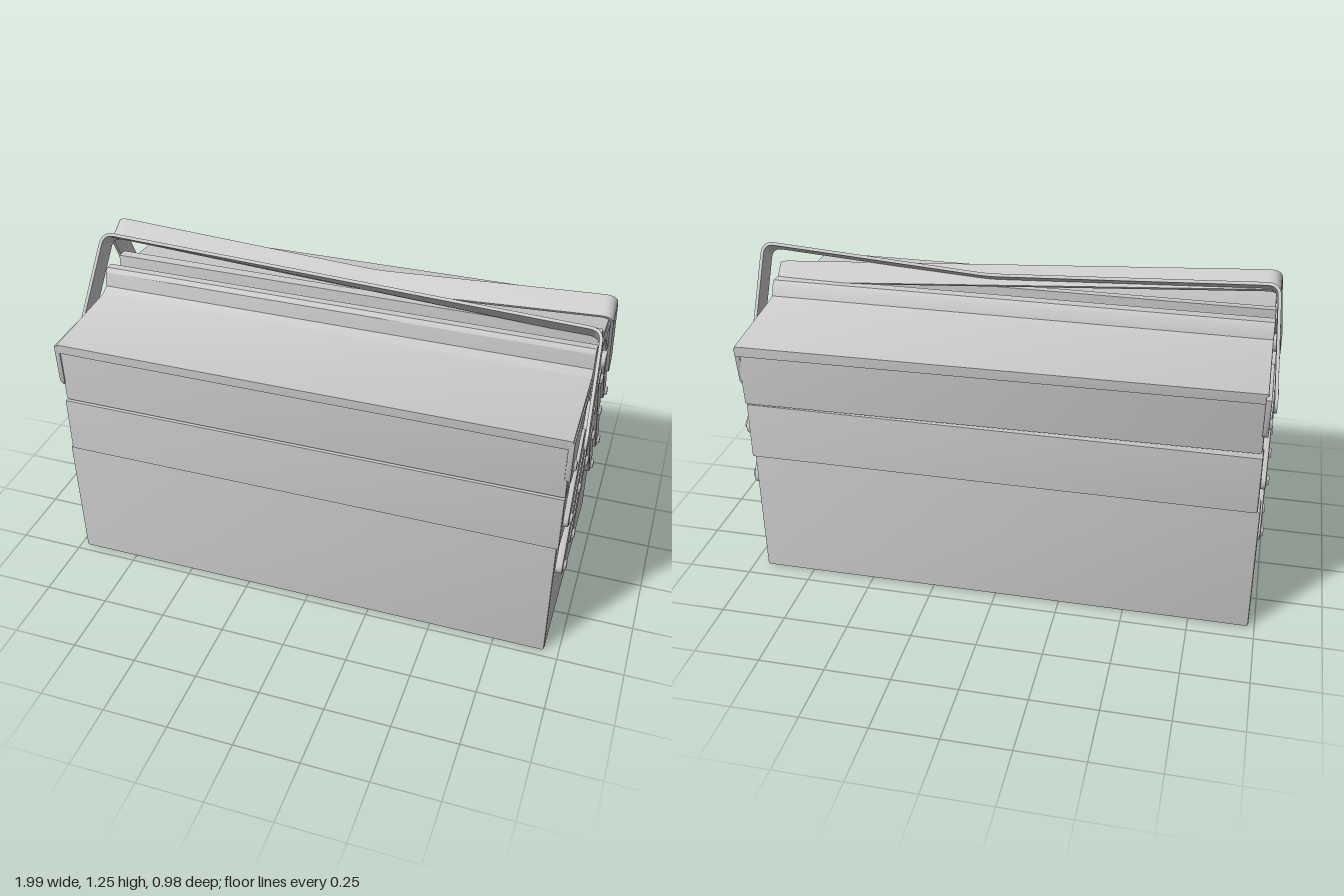
import * as THREE from 'three';
import { toCreasedNormals } from 'three/addons/utils/BufferGeometryUtils.js';

const metal = new THREE.MeshStandardMaterial({ color: 0xcccccc });

function addMesh(parent, name, geometry) {
  const mesh = new THREE.Mesh(geometry, metal);
  mesh.name = name;
  parent.add(mesh);
  return mesh;
}

// Extrude a [z, y] outline along x between x0 and x1 with a small edge bevel
function prism(shape, x0, x1, bevel = 0.008) {
  const geo = new THREE.ExtrudeGeometry(shape, {
    depth: x1 - x0 - 2 * bevel, bevelThickness: bevel, bevelSize: bevel,
    bevelOffset: -bevel, bevelSegments: 2, curveSegments: 12,
  });
  geo.rotateY(-Math.PI / 2);
  geo.translate(x1 - bevel, 0, 0);
  return toCreasedNormals(geo, 0.6);
}

const polygon = (pts) => new THREE.Shape(pts.map(([z, y]) => new THREE.Vector2(z, y)));
const block = (z0, z1, y0, y1) => polygon([[z0, y0], [z1, y0], [z1, y1], [z0, y1]]);

// Round-ended bar outline between two pivots
function capsule([z0, y0], [z1, y1], r) {
  const a = Math.atan2(y1 - y0, z1 - z0);
  const s = new THREE.Shape();
  s.absarc(z1, y1, r, a - Math.PI / 2, a + Math.PI / 2, false);
  s.absarc(z0, y0, r, a + Math.PI / 2, a + Math.PI * 1.5, false);
  return s;
}

// Low domed rivet facing outward on one end of the box
function rivet(parent, x, side, [z, y], r = 0.022) {
  const geo = new THREE.CylinderGeometry(r * 0.7, r, 0.012, 16);
  geo.rotateZ(-side * Math.PI / 2);
  addMesh(parent, 'rivet', toCreasedNormals(geo, 0.9)).position.set(x, y, z);
}

// Flat strap swept through corner points; its width direction turns from wL to wR
function strap(points, wL, wR, width, thick) {
  const P = points.map((p) => new THREE.Vector3(...p));
  const path = [P[0]];
  for (let i = 1; i < P.length - 1; i++) {
    const toward = (q) => P[i].clone().add(q.clone().sub(P[i]).setLength(0.045));
    path.push(...new THREE.QuadraticBezierCurve3(toward(P[i - 1]), P[i], toward(P[i + 1])).getPoints(6));
  }
  path.push(P[P.length - 1]);
  const pos = [], idx = [], n = path.length;
  path.forEach((p, i) => {
    const t = path[Math.min(i + 1, n - 1)].clone().sub(path[Math.max(i - 1, 0)]).normalize();
    const w = new THREE.Vector3(...wL).lerp(new THREE.Vector3(...wR), (p.x + 1) / 2);
    w.addScaledVector(t, -w.dot(t)).normalize();
    const up = new THREE.Vector3().crossVectors(w, t);
    for (const [a, b] of [[-1, -1], [1, -1], [1, 1], [-1, 1]]) {
      const v = p.clone().addScaledVector(w, a * width / 2).addScaledVector(up, b * thick / 2);
      pos.push(v.x, v.y, v.z);
    }
    if (i < n - 1) {
      for (let k = 0; k < 4; k++) {
        const a = i * 4 + k, b = i * 4 + (k + 1) % 4;
        idx.push(a, a + 4, b, b, a + 4, b + 4);
      }
    }
  });
  const e = (n - 1) * 4;
  idx.push(0, 1, 2, 0, 2, 3, e, e + 2, e + 1, e, e + 3, e + 2);
  const geo = new THREE.BufferGeometry();
  geo.setAttribute('position', new THREE.Float32BufferAttribute(pos, 3));
  geo.setIndex(idx);
  return toCreasedNormals(geo, 0.7);
}

// Strap handle with round eyes and rivets at its two pivots
function handle(name, points, wL, wR) {
  const g = new THREE.Group();
  g.name = name;
  const strip = addMesh(g, name + 'Strap', strap(points, wL, wR, 0.088, 0.012));
  strip.material = metal.clone();
  strip.material.side = THREE.DoubleSide;
  for (const p of [points[0], points[points.length - 1]]) {
    const eye = new THREE.CylinderGeometry(0.044, 0.044, 0.012, 24);
    eye.rotateZ(Math.PI / 2);
    addMesh(g, name + 'Eye', toCreasedNormals(eye, 0.6)).position.set(...p);
    rivet(g, p[0] - Math.sign(p[0]) * 0.001, Math.sign(p[0]), [p[2], p[1]], 0.026);
  }
  return g;
}

export function createModel() {
  const model = new THREE.Group();
  model.name = 'toolbox';

  // Base box and the two middle trays
  addMesh(model, 'base', prism(polygon([[-0.435, 0.005], [0.468, 0], [0.477, 0.515], [-0.44, 0.515]]), -0.977, 0.945));
  addMesh(model, 'frontMiddleTray', prism(block(0.03, 0.483, 0.518, 0.742), -0.967, 0.952));
  addMesh(model, 'backMiddleTray', prism(block(-0.45, 0.005, 0.518, 0.742), -0.967, 0.952));

  // Upper trays
  addMesh(model, 'frontUpperTray', prism(polygon([[0.03, 0.748], [0.477, 0.748], [0.483, 0.98], [0.03, 0.98]]), -0.962, 0.952));
  const skew = (geo) => {
    const p = geo.attributes.position;
    for (let i = 0; i < p.count; i++) {
      if (p.getZ(i) < -0.35) p.setZ(i, p.getZ(i) + 0.03 * (1 - p.getX(i)) / 2);
    }
    return geo;
  };
  addMesh(model, 'backUpperTray', skew(prism(polygon([[-0.462, 0.752], [-0.015, 0.752], [-0.03, 0.985], [-0.48, 0.985]]), -0.962, 0.952)));

  // Lids, each with a raised ridge along the middle of the box
  addMesh(model, 'frontLid', prism(polygon([[0.488, 0.96], [0.49, 0.997], [0.115, 1.012],
    [0.085, 1.03], [0.075, 1.085], [0.06, 1.1], [0.03, 1.1], [0.03, 0.96]]), -0.963, 0.956, 0.005));
  addMesh(model, 'backLid', skew(prism(polygon([[-0.487, 0.96], [-0.04, 0.96], [-0.045, 1.1], [-0.085, 1.1],
    [-0.1, 1.085], [-0.115, 1.045], [-0.15, 1.038], [-0.49, 1.0]]), -0.963, 0.956, 0.005)));

  // Hinged arms and lid cheeks on both ends
  const arms = [
    [[0.095, 0.865], [0.41, 0.39]], [[0.085, 0.63], [0.235, 0.395]], [[0.27, 0.86], [0.42, 0.62]],
    [[-0.08, 0.89], [-0.38, 0.4]], [[-0.06, 0.645], [-0.215, 0.395]], [[-0.25, 0.87], [-0.4, 0.63]],
  ];
  const cheeks = [
    [[0.489, 0.99], [0.483, 0.83], [0.465, 0.805], [0.42, 0.8], [0.385, 0.82], [0.2, 0.99]],
    [[-0.485, 0.99], [-0.463, 0.85], [-0.45, 0.83], [-0.385, 0.835], [-0.36, 0.86], [-0.2, 0.99]],
  ];
  for (const side of [1, -1]) {
    const ends = new THREE.Group();
    ends.name = side > 0 ? 'leftLinkage' : 'rightLinkage';
    model.add(ends);
    const span = (a, b) => (side > 0 ? [a, b] : [-b - 0.014, -a - 0.014]);
    const outer = side > 0 ? 0.975 : -0.989;
    for (const [a, b] of arms) {
      addMesh(ends, 'arm', prism(capsule(a, b, 0.034), ...span(0.94, 0.971), 0.006));
      rivet(ends, outer, side, a);
      rivet(ends, outer, side, b);
    }
    for (const i of [0, 3]) {
      const [a, b] = arms[i];
      rivet(ends, outer, side, [(a[0] + b[0]) / 2, (a[1] + b[1]) / 2]);
    }
    cheeks.forEach((c, i) => {
      addMesh(ends, 'lidCheek', prism(polygon(c), ...span(0.94, 0.961), 0.003));
      rivet(ends, outer - side * 0.01, side, [i ? -0.415 : 0.422, i ? 0.865 : 0.852], 0.024);
    });
  }

  // Two carrying handles leaning together above the ridge
  model.add(handle('frontHandle',
    [[-0.992, 0.86, 0.27], [-0.965, 1.222, 0.018], [0.96, 1.112, -0.03], [0.98, 0.86, 0.268]],
    [0, 0.55, 0.84], [0, 0.76, 0.65]));
  model.add(handle('backHandle',
    [[-0.992, 0.87, -0.25], [-0.965, 1.225, -0.042], [0.1, 1.17, -0.045], [0.988, 1.225, -0.035], [0.98, 0.87, -0.25]],
    [0, -0.51, 0.86], [0, -0.51, 0.86]));
  return model;
}
